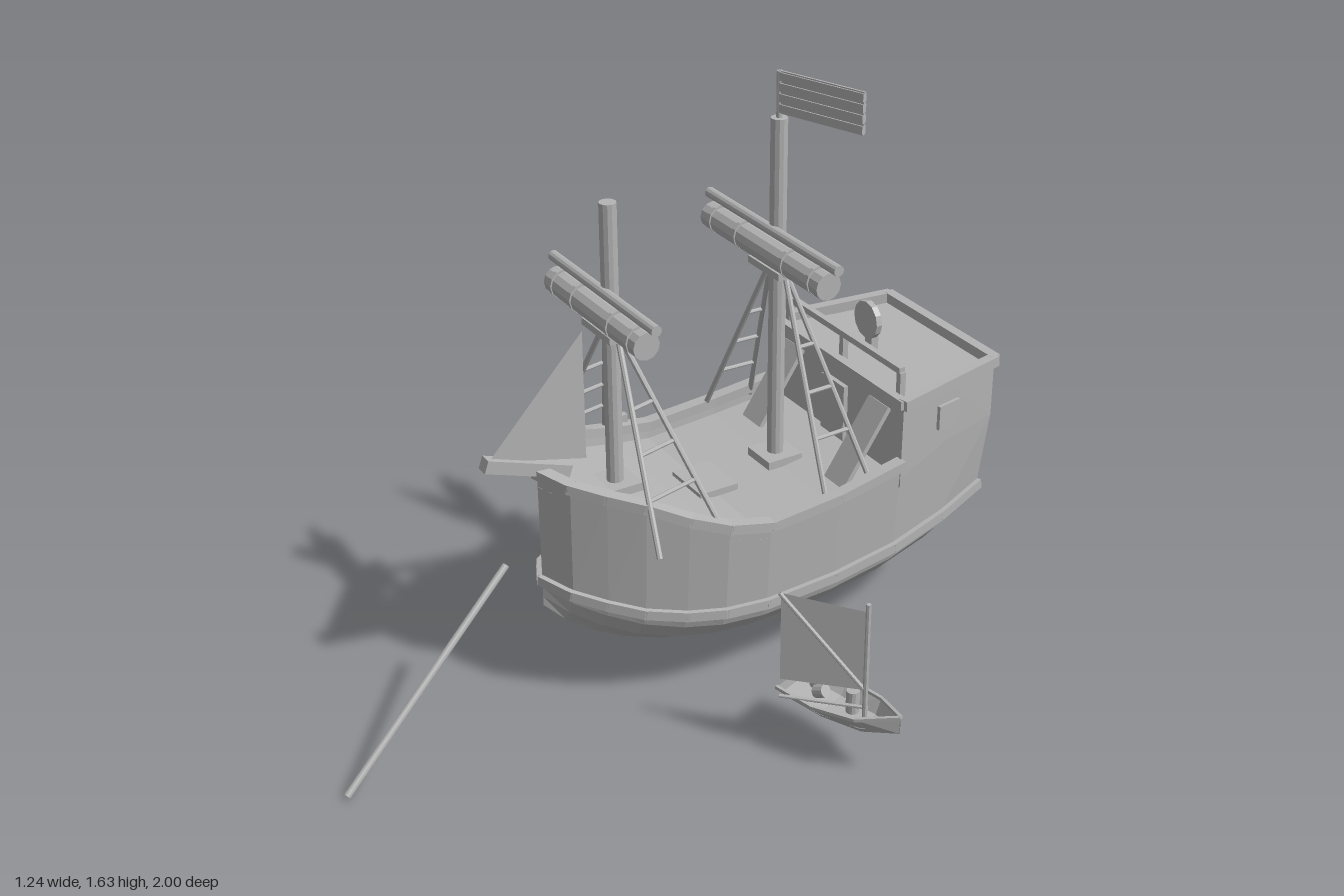
import * as THREE from 'three';

const V = (x, y, z) => new THREE.Vector3(x, y, z);

export function createModel() {
  const grey = new THREE.MeshStandardMaterial({ color: 0xb4b4b4, flatShading: true, side: THREE.DoubleSide });
  grey.name = 'plain grey';

  const model = new THREE.Group();
  const ship = new THREE.Group();
  ship.name = 'ship';
  ship.position.set(-0.145, 0, -0.2875);
  ship.rotation.y = -0.34;
  model.add(ship);

  const add = (parent, name, geo, x = 0, y = 0, z = 0) => {
    const m = new THREE.Mesh(geo, grey);
    m.name = name;
    m.position.set(x, y, z);
    parent.add(m);
    return m;
  };
  const box = (parent, name, w, h, d, x, y, z) => add(parent, name, new THREE.BoxGeometry(w, h, d), x, y, z);
  // square beam between two points
  const beam = (parent, name, a, b, w, h = w) => {
    const mid = a.clone().add(b).multiplyScalar(0.5);
    const m = box(parent, name, w, h, a.distanceTo(b) + w * 0.3, mid.x, mid.y, mid.z);
    m.quaternion.setFromRotationMatrix(new THREE.Matrix4().lookAt(b, a, V(0, 1, 0)));
    return m;
  };
  // round pole between two points
  const pole = (parent, name, a, b, r, sides = 12) => {
    const mid = a.clone().add(b).multiplyScalar(0.5);
    const m = add(parent, name, new THREE.CylinderGeometry(r, r, a.distanceTo(b), sides), mid.x, mid.y, mid.z);
    m.quaternion.setFromUnitVectors(V(0, 1, 0), b.clone().sub(a).normalize());
    return m;
  };
  // skin over rows of points
  const loft = (rows) => {
    const n = rows[0].length, idx = [];
    for (let i = 0; i < rows.length - 1; i++) for (let j = 0; j < n - 1; j++) {
      const a = i * n + j, b = a + n;
      idx.push(a, b, a + 1, a + 1, b, b + 1);
    }
    const g = new THREE.BufferGeometry().setFromPoints(rows.flat());
    g.setIndex(idx);
    g.computeVertexNormals();
    return g;
  };
  // flat polygon
  const plate = (pts) => {
    const g = new THREE.BufferGeometry().setFromPoints(pts);
    const idx = [];
    for (let i = 1; i < pts.length - 1; i++) idx.push(0, i, i + 1);
    g.setIndex(idx);
    g.computeVertexNormals();
    return g;
  };

  // hull stations: z, half width at rail, rail y, half width at wale, wale y, keel y
  const stations = [
    [-0.64, 0.25, 0.60, 0.222, 0.37, 0.27],
    [-0.48, 0.28, 0.59, 0.262, 0.335, 0.165],
    [-0.297, 0.312, 0.575, 0.293, 0.305, 0.125],
    [-0.09, 0.325, 0.545, 0.308, 0.285, 0.1],
    [0.13, 0.327, 0.527, 0.31, 0.275, 0.1],
    [0.25, 0.315, 0.55, 0.295, 0.277, 0.105],
    [0.35, 0.28, 0.585, 0.262, 0.283, 0.12],
    [0.45, 0.23, 0.63, 0.215, 0.298, 0.15],
    [0.53, 0.165, 0.65, 0.155, 0.318, 0.185],
    [0.60, 0.095, 0.668, 0.09, 0.338, 0.23],
    [0.645, 0.0, 0.682, 0.0, 0.352, 0.27],
  ];
  const aft = (z, y) => (z < -0.6 ? z - (y - 0.37) * 0.05 : z);
  // chined section: fraction of half width, fraction of depth
  const chine = [[1, 0], [0.94, 0.3], [0.74, 0.66], [0.4, 1]];
  const section = ([z, , , hw, yw, yk]) => {
    const side = (s) => chine.map(([fx, fy]) => {
      const y = yw - (yw - yk) * fy;
      return V(s * hw * fx, y, aft(z, y));
    });
    return [...side(1), ...side(-1).reverse()];
  };
  add(ship, 'lowerHull', loft(stations.map(section)));
  for (const s of [1, -1]) {
    add(ship, 'hullSide', loft(stations.map(([z, hr, yr, hw, yw]) => [V(s * hw, yw, aft(z, yw)), V(s * hr, yr, aft(z, yr))])));
    for (let i = 0; i < stations.length - 1; i++) {
      const [z, hr, yr, hw, yw] = stations[i], [z2, hr2, yr2, hw2, yw2] = stations[i + 1];
      beam(ship, 'wale', V(s * hw, yw, z), V(s * hw2, yw2, z2), 0.03, 0.028);
      if (i >= 2) beam(ship, 'rail', V(s * hr, yr, z), V(s * hr2, yr2, z2), 0.036, 0.028);
    }
  }
  add(ship, 'mainDeck', loft(stations.slice(2).map(([z, hr, yr]) => [V(-hr + 0.003, yr - 0.045, z), V(hr - 0.003, yr - 0.045, z)])));
  box(ship, 'deckHatch', 0.15, 0.02, 0.12, -0.01, 0.495, 0.13);
  box(ship, 'hullPort', 0.02, 0.065, 0.05, -0.335, 0.545, 0.22);

  // stern castle
  const F = -0.297, B = -0.652, top = 0.75;
  const stern = section(stations[0]);
  add(ship, 'transom', plate([...stern, V(-0.25, 0.6, aft(-0.64, 0.6)), V(-0.25, 0.765, B), V(0.25, 0.765, B), V(0.25, 0.6, aft(-0.64, 0.6))]));
  for (const s of [1, -1]) {
    add(ship, 'castleSide', loft([[V(s * 0.312, 0.53, F), V(s * 0.315, 0.755, F)],
      [V(s * 0.28, 0.585, -0.48), V(s * 0.282, 0.758, -0.48)],
      [V(s * 0.25, 0.6, aft(-0.64, 0.6)), V(s * 0.25, 0.765, B)]]));
    beam(ship, 'castleRail', V(s * 0.315, 0.758, F), V(s * 0.25, 0.772, B), 0.03);
    const w = box(ship, 'sideWindow', 0.02, 0.072, 0.08, s * 0.283, 0.67, -0.47);
    w.rotation.y = s * 0.18;
  }
  beam(ship, 'castleRail', V(-0.25, 0.772, B), V(0.25, 0.772, B), 0.03);
  beam(ship, 'castleRail', V(-0.315, 0.758, F), V(0.315, 0.758, F), 0.026);
  add(ship, 'castleDeck', plate([V(-0.315, top, F), V(0.315, top, F), V(0.25, top, B), V(-0.25, top, B)]));
  add(ship, 'castleFront', plate([V(-0.312, 0.5, F), V(0.312, 0.5, F), V(0.315, 0.755, F), V(-0.315, 0.755, F)]));
  box(ship, 'castleDoor', 0.11, 0.17, 0.014, 0, 0.615, F + 0.007);

  // stern windows, ledge and rudder
  const rect = (w, h) => [[-w, -h], [w, -h], [w, h], [-w, h]].map((p) => new THREE.Vector2(...p));
  const frame = new THREE.Shape(rect(0.055, 0.045));
  frame.holes.push(new THREE.Path(rect(0.04, 0.032).reverse()));
  const frameGeo = new THREE.ExtrudeGeometry(frame, { depth: 0.02, bevelEnabled: false });
  for (const x of [-0.145, 0, 0.145]) add(ship, 'sternWindow', frameGeo, x, 0.685, -0.67);
  box(ship, 'sternLedge', 0.43, 0.014, 0.022, 0, 0.618, -0.66);
  box(ship, 'rudder', 0.022, 0.19, 0.06, 0, 0.375, -0.665);

  // quarterdeck railing and steering wheel
  beam(ship, 'quarterRailing', V(-0.27, 0.837, F - 0.02), V(0.27, 0.837, F - 0.02), 0.018);
  for (const x of [-0.27, 0, 0.27]) box(ship, 'railingPost', 0.018, 0.085, 0.018, x, 0.79, F - 0.02);
  const wheel = add(ship, 'wheel', new THREE.CylinderGeometry(0.055, 0.055, 0.018, 12), -0.017, 0.85, -0.41);
  wheel.rotation.x = Math.PI / 2;
  box(ship, 'wheelStand', 0.03, 0.1, 0.024, -0.017, 0.795, -0.425);

  // stair ramps up to the quarterdeck
  for (const s of [1, -1]) {
    beam(ship, 'stairRamp', V(s * 0.21, 0.71, F + 0.01), V(s * 0.21, 0.52, -0.16), 0.09, 0.014);
  }

  // masts with yards, furled sails and shrouds
  const rig = (name, z, height, baseY, yardY, spar, roll, legs) => {
    const g = new THREE.Group();
    g.name = name;
    g.position.set(-0.011, 0, z);
    ship.add(g);
    pole(g, 'mast', V(0, baseY, 0), V(0, height, 0), 0.023);
    box(g, 'mastStep', 0.11, 0.024, 0.11, 0, baseY + 0.012, 0);
    box(g, 'crosstree', 0.15, 0.02, 0.09, 0, yardY - 0.105, 0);
    pole(g, 'yard', V(-spar / 2, yardY, 0.02), V(spar / 2, yardY, 0.02), 0.015);
    pole(g, 'furledSail', V(-roll / 2, yardY - 0.053, 0.03), V(roll / 2, yardY - 0.053, 0.03), 0.038);
    for (const t of [-0.42, -0.2, 0.2, 0.42]) {
      pole(g, 'sailTie', V(t * roll - 0.006, yardY - 0.05, 0.03), V(t * roll + 0.006, yardY - 0.05, 0.03), 0.042);
    }
    for (const s of [1, -1]) {
      const head = V(s * 0.03, yardY - 0.1, 0);
      const feet = legs.map(([x, y, lz]) => V(s * x, y, lz - z));
      for (const f of feet) pole(g, 'shroud', head, f, 0.008, 8);
      for (const t of [0.35, 0.55, 0.75]) {
        pole(g, 'ratline', head.clone().lerp(feet[0], t), head.clone().lerp(feet[1], t), 0.006, 8);
      }
    }
  };
  rig('mainMast', -0.1, 1.505, 0.5, 1.195, 0.63, 0.57, [[0.31, 0.54, -0.06], [0.305, 0.54, -0.21]]);
  rig('foreMast', 0.41, 1.38, 0.56, 1.138, 0.545, 0.477, [[0.322, 0.52, 0.46], [0.315, 0.55, 0.27]]);

  // bowsprit and jib
  beam(ship, 'bowsprit', V(0, 0.665, 0.56), V(0, 0.745, 0.79), 0.036);
  add(ship, 'jib', plate([V(0, 1.05, 0.5), V(0, 0.75, 0.78), V(0, 0.68, 0.5)]));

  // flag with raised stripes
  pole(model, 'flagStaff', V(-0.123, 1.5, -0.386), V(-0.123, 1.63, -0.386), 0.008);
  box(model, 'flag', 0.27, 0.114, 0.006, 0.008, 1.574, -0.386);
  for (let i = 0; i < 4; i++) box(model, 'flagStripe', 0.27, 0.022, 0.014, 0.008, 1.531 + i * 0.0285, -0.386);

  // loose pole ahead of the bow
  pole(model, 'loosePole', V(-0.375, 0.448, 0.437), V(-0.425, 0.008, 0.995), 0.01);

  // small sailing boat
  const boat = new THREE.Group();
  boat.name = 'smallBoat';
  boat.position.z = 0.052;
  model.add(boat);
  const ribs = [[0.28, 0.072, 0.178, 0.035, 0.13], [0.4, 0.08, 0.172, 0.036, 0.118],
    [0.52, 0.06, 0.176, 0.026, 0.12], [0.62, 0.002, 0.195, 0.001, 0.145]];
  const shell = ribs.map(([x, w, y, wb, yb]) => [V(x, y, -w), V(x, yb, -wb), V(x, yb, wb), V(x, y, w)]);
  add(boat, 'boatHull', loft(shell));
  add(boat, 'boatStern', plate(shell[0]));
  add(boat, 'boatFloor', loft(ribs.map(([x, w, , , yb]) => [V(x, yb + 0.018, -w * 0.65), V(x, yb + 0.018, w * 0.65)])));
  for (const s of [1, -1]) for (let i = 0; i < 3; i++) {
    const [x, w, y] = ribs[i], [x2, w2, y2] = ribs[i + 1];
    beam(boat, 'gunwale', V(x, y, s * w), V(x2, y2, s * w2), 0.009);
  }
  pole(boat, 'boatMast', V(0.517, 0.13, 0.01), V(0.517, 0.5, 0.01), 0.007, 8);
  add(boat, 'boatSail', plate([V(0.513, 0.475, 0.01), V(0.315, 0.5, 0.105), V(0.315, 0.238, 0.105), V(0.513, 0.238, 0.01)]));
  pole(boat, 'boatSprit', V(0.313, 0.5, 0.108), V(0.513, 0.242, 0.012), 0.006, 8);
  for (const [x, z] of [[0.365, 0.0], [0.395, 0.03]]) {
    pole(boat, 'barrel', V(x - 0.018, 0.185, z), V(x + 0.012, 0.2, z), 0.018);
  }
  pole(boat, 'bucket', V(0.465, 0.14, -0.01), V(0.465, 0.205, -0.01), 0.018);
  pole(boat, 'oar', V(0.31, 0.18, 0.1), V(0.52, 0.18, 0.0), 0.005, 8);

  return model;
}
